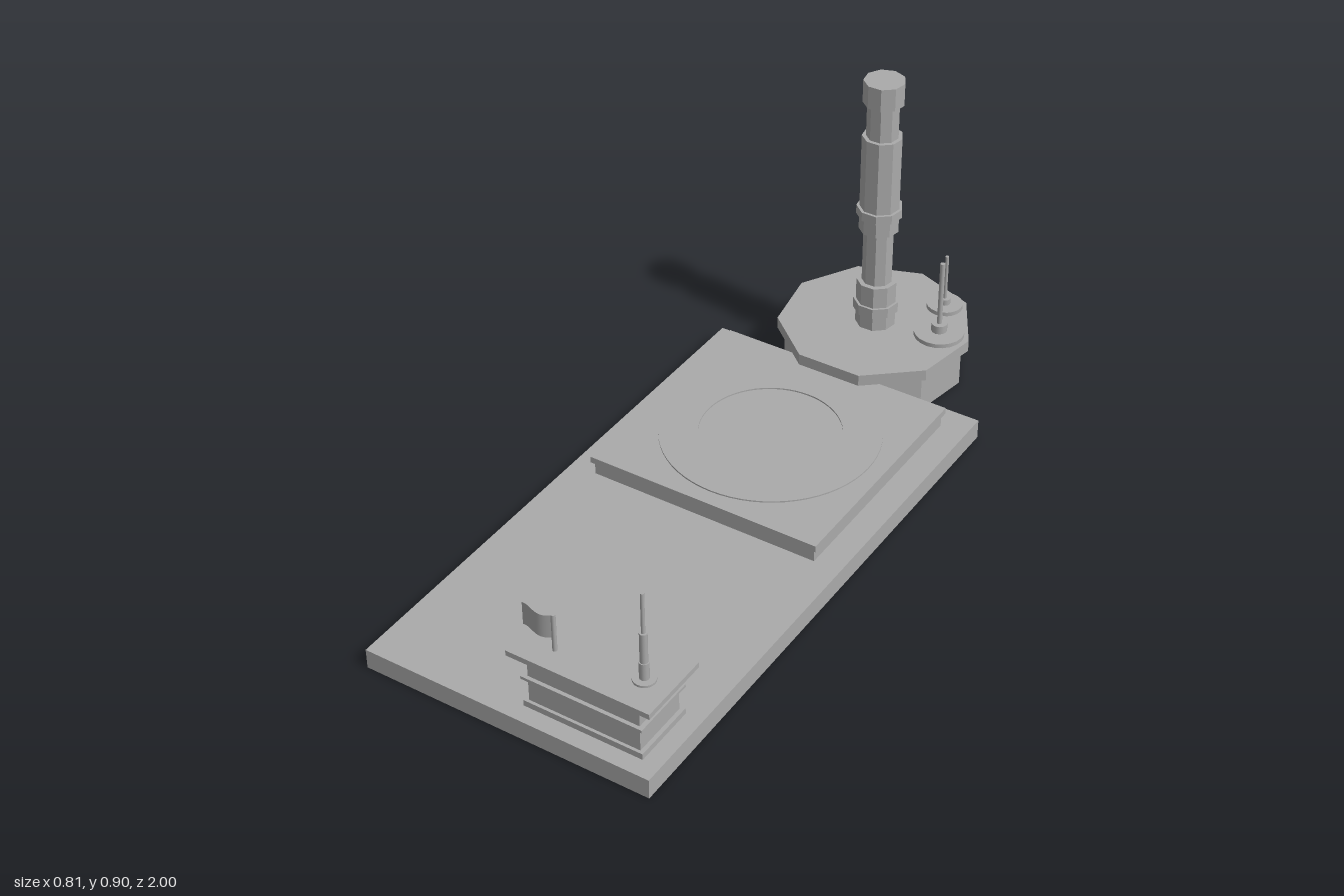
import * as THREE from 'three';

export function createModel() {
  const model = new THREE.Group();
  const grey = new THREE.MeshStandardMaterial({ color: 0xaaaaaa });
  grey.name = 'concreteGrey';
  const flagGrey = grey.clone();
  flagGrey.name = 'flagGrey';
  flagGrey.side = THREE.DoubleSide;

  const add = (parent, name, geometry, material = grey) => {
    const mesh = new THREE.Mesh(geometry, material);
    mesh.name = name;
    parent.add(mesh);
    return mesh;
  };
  const group = (name, x = 0, z = 0) => {
    const g = new THREE.Group();
    g.name = name;
    g.position.set(x, 0, z);
    model.add(g);
    return g;
  };
  // box given by its ranges
  const box = (parent, name, x0, x1, y0, y1, z0, z1) =>
    add(parent, name, new THREE.BoxGeometry(x1 - x0, y1 - y0, z1 - z0))
      .position.set((x0 + x1) / 2, (y0 + y1) / 2, (z0 + z1) / 2);
  // upright prism given by radius and height range, one corner towards the back
  const prism = (parent, name, r, y0, y1, sides) => {
    let g = new THREE.CylinderGeometry(r, r, y1 - y0, sides);
    if (sides < 12) {
      g = g.toNonIndexed();
      g.computeVertexNormals();
    }
    const mesh = add(parent, name, g);
    mesh.rotation.y = Math.PI;
    mesh.position.y = (y0 + y1) / 2;
  };

  // ground slab
  box(model, 'baseSlab', -0.405, 0.405, 0, 0.056, -0.58, 1);

  // raised pad with a ring on top
  const pad = group('landingPad');
  box(pad, 'padBody', -0.33, 0.33, 0.056, 0.094, -0.507, 0.152);
  box(pad, 'padTop', -0.338, 0.338, 0.094, 0.112, -0.515, 0.16);
  const ringShape = new THREE.Shape().absarc(0, 0, 0.294, 0, Math.PI * 2);
  ringShape.holes.push(new THREE.Path().absarc(0, 0, 0.19, 0, Math.PI * 2, true));
  const ring = add(pad, 'padRing', new THREE.ExtrudeGeometry(ringShape,
    { depth: 0.004, bevelEnabled: false, curveSegments: 32 }).rotateX(-Math.PI / 2));
  ring.position.set(0, 0.112, -0.178);

  // nine-sided tower and its foundation
  const tower = group('tower', 0, -0.73);
  [
    ['foundation', 0.25, 0, 0.113],
    ['foundationTop', 0.27, 0.113, 0.146],
    ['towerFoot', 0.056, 0.146, 0.283],
    ['footBand', 0.063, 0.19, 0.22],
    ['lowerShaft', 0.042, 0.283, 0.447],
    ['middleShaft', 0.055, 0.447, 0.735],
    ['middleBand', 0.063, 0.493, 0.519],
    ['upperShaft', 0.044, 0.735, 0.835],
    ['towerCap', 0.056, 0.835, 0.9],
  ].forEach(([name, r, y0, y1]) => prism(tower, name, r, y0, y1, 9));

  // two masts beside the tower
  [[0.18, -0.765, 1, 0.375], [0.13, -0.89, 0.72, 0.311]].forEach(([x, z, s, top]) => {
    const mast = group('towerMast', x, z);
    prism(mast, 'mastPlate', 0.07 * s, 0.146, 0.158, 20);
    prism(mast, 'mastSocket', 0.022 * s, 0.158, 0.158 + 0.024 * s, 12);
    prism(mast, 'mastPole', 0.007 * s, 0.158, top, 12);
  });

  // control building: stacked layers with a slot in the back wall
  const building = group('controlBuilding');
  [
    ['plinth', 0.025, 0.357, 0.056, 0.073, 0.775, 0.953],
    ['wall', 0.036, 0.346, 0.073, 0.207, 0.785, 0.945],
    ['ledge', 0.022, 0.358, 0.14, 0.148, 0.775, 0.955],
  ].forEach(([name, x0, x1, y0, y1, z0, z1]) => {
    box(building, name + 'Front', x0, x1, y0, y1, 0.82, z1);
    box(building, name + 'BackRight', x0, 0.176, y0, y1, z0, 0.82);
    box(building, name + 'BackLeft', 0.206, x1, y0, y1, z0, 0.82);
  });
  box(building, 'roof', -0.007, 0.388, 0.207, 0.222, 0.765, 0.967);

  // stepped antenna on the roof
  const antenna = group('roofAntenna', 0.315, 0.877);
  prism(antenna, 'antennaPlate', 0.029, 0.222, 0.228, 20);
  prism(antenna, 'antennaFoot', 0.0125, 0.228, 0.276, 12);
  prism(antenna, 'antennaMiddle', 0.01, 0.276, 0.362, 12);
  prism(antenna, 'antennaTip', 0.005, 0.362, 0.478, 12);

  // waving flag
  const flag = group('roofFlag', 0.088, 0.905);
  prism(flag, 'flagPole', 0.006, 0.222, 0.33, 12);
  const cloth = new THREE.PlaneGeometry(0.094, 0.066, 12, 1);
  const p = cloth.attributes.position;
  for (let i = 0; i < p.count; i++) {
    const t = 0.5 - p.getX(i) / 0.094; // 0 at the pole, 1 at the free end
    p.setZ(i, 0.009 * Math.sin(t * Math.PI * 1.35));
    p.setY(i, p.getY(i) - 0.01 * t - 0.003 * Math.sin(t * Math.PI * 2));
  }
  cloth.computeVertexNormals();
  add(flag, 'flagCloth', cloth, flagGrey).position.set(-0.047, 0.294, 0);

  return model;
}
